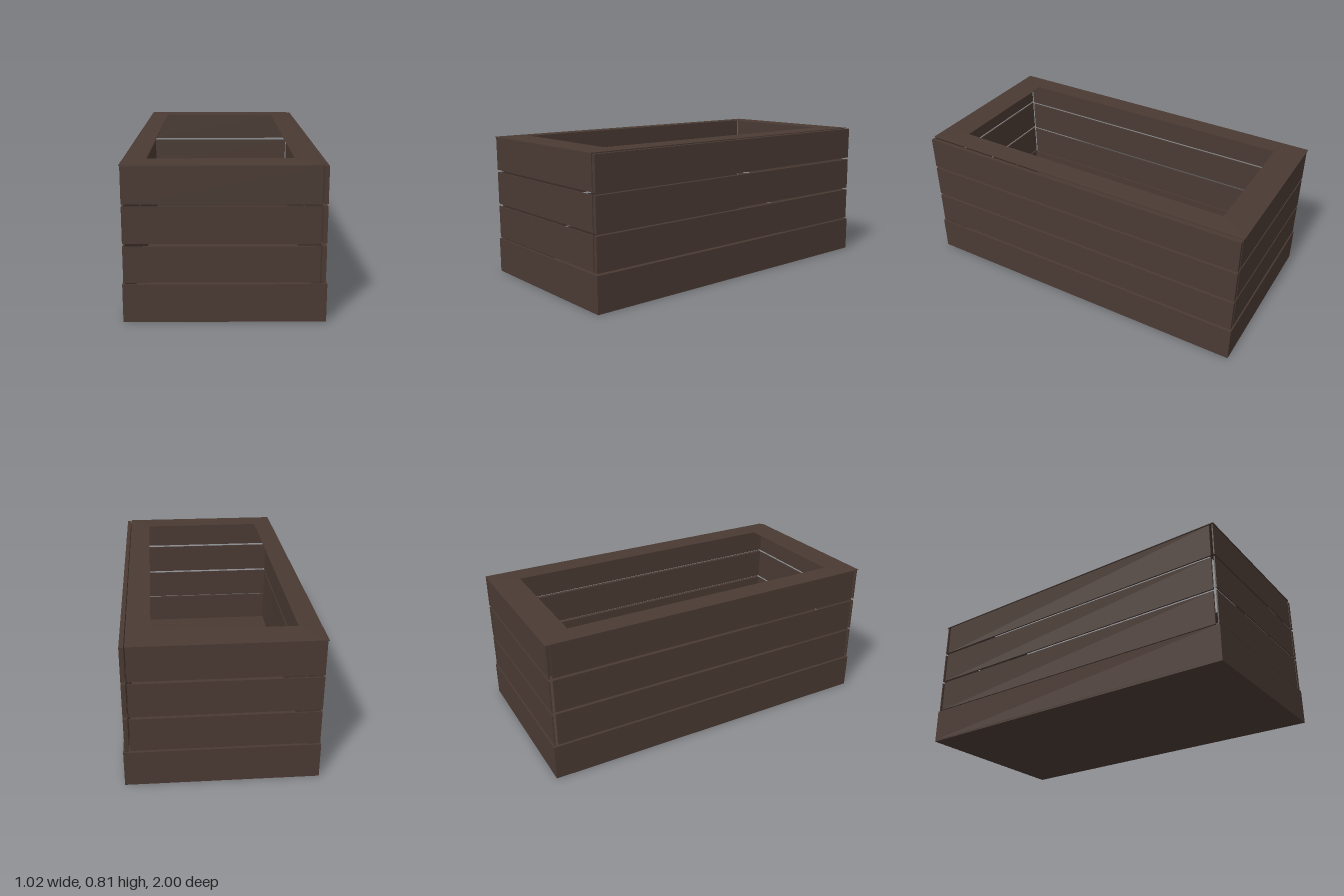
import * as THREE from 'three';

export function createModel() {
  const group = new THREE.Group();
  const wood = new THREE.MeshStandardMaterial({ color: 0x4a3a33, side: THREE.DoubleSide });
  wood.name = 'darkWood';

  // Box given by its minimum and maximum corners
  function board(name, x0, x1, y0, y1, z0, z1) {
    const mesh = new THREE.Mesh(new THREE.BoxGeometry(x1 - x0, y1 - y0, z1 - z0), wood);
    mesh.position.set((x0 + x1) / 2, (y0 + y1) / 2, (z0 + z1) / 2);
    mesh.name = name;
    group.add(mesh);
  }

  // Base tray: floor and four low walls
  const W = 0.51, t = 0.012;
  board('floor', -W, W, 0, t, -1, 1);
  for (const s of [-1, 1]) {
    const x = s * (W - t / 2), z = s * (1 - t / 2);
    board('baseSide', x - t / 2, x + t / 2, t, 0.2, -1, 1);
    board('baseEnd', -W + t, W - t, t, 0.2, z - t / 2, z + t / 2);
  }

  // Three rows of slats with narrow gaps; the +x slats are thicker with a gap at each end
  for (let i = 0; i < 3; i++) {
    const y0 = 0.208 + i * 0.201, y1 = y0 + 0.188;
    board('frontSlat', -0.505, 0.473, y0, y1, 0.988, 0.995);
    board('backSlat', -0.505, 0.473, y0, y1, -0.995, -0.988);
    board('rightSlat', -0.505, -0.496, y0, y1, -0.973, 0.973);
    board('leftSlat', 0.48, 0.503, y0, y1, -0.995, 0.995);
  }

  // Thin top rim, rising slightly towards the opening
  const rect = (T, x0, x1, z) => {
    const p = new T();
    p.moveTo(x0, -z).lineTo(x1, -z).lineTo(x1, z).lineTo(x0, z).closePath();
    return p;
  };
  const outline = rect(THREE.Shape, -0.51, 0.475, 1);
  outline.holes.push(rect(THREE.Path, -0.39, 0.35, 0.835));
  const rimGeo = new THREE.ExtrudeGeometry(outline, { depth: 0.003, bevelEnabled: false });
  rimGeo.rotateX(-Math.PI / 2);
  const p = rimGeo.attributes.position;
  for (let i = 0; i < p.count; i++) {
    const inner = Math.abs(p.getZ(i)) < 0.9;
    p.setY(i, p.getY(i) + (inner ? 0.803 : 0.8));
  }
  rimGeo.computeVertexNormals();
  const rim = new THREE.Mesh(rimGeo, wood);
  rim.name = 'topRim';
  group.add(rim);

  return group;
}
